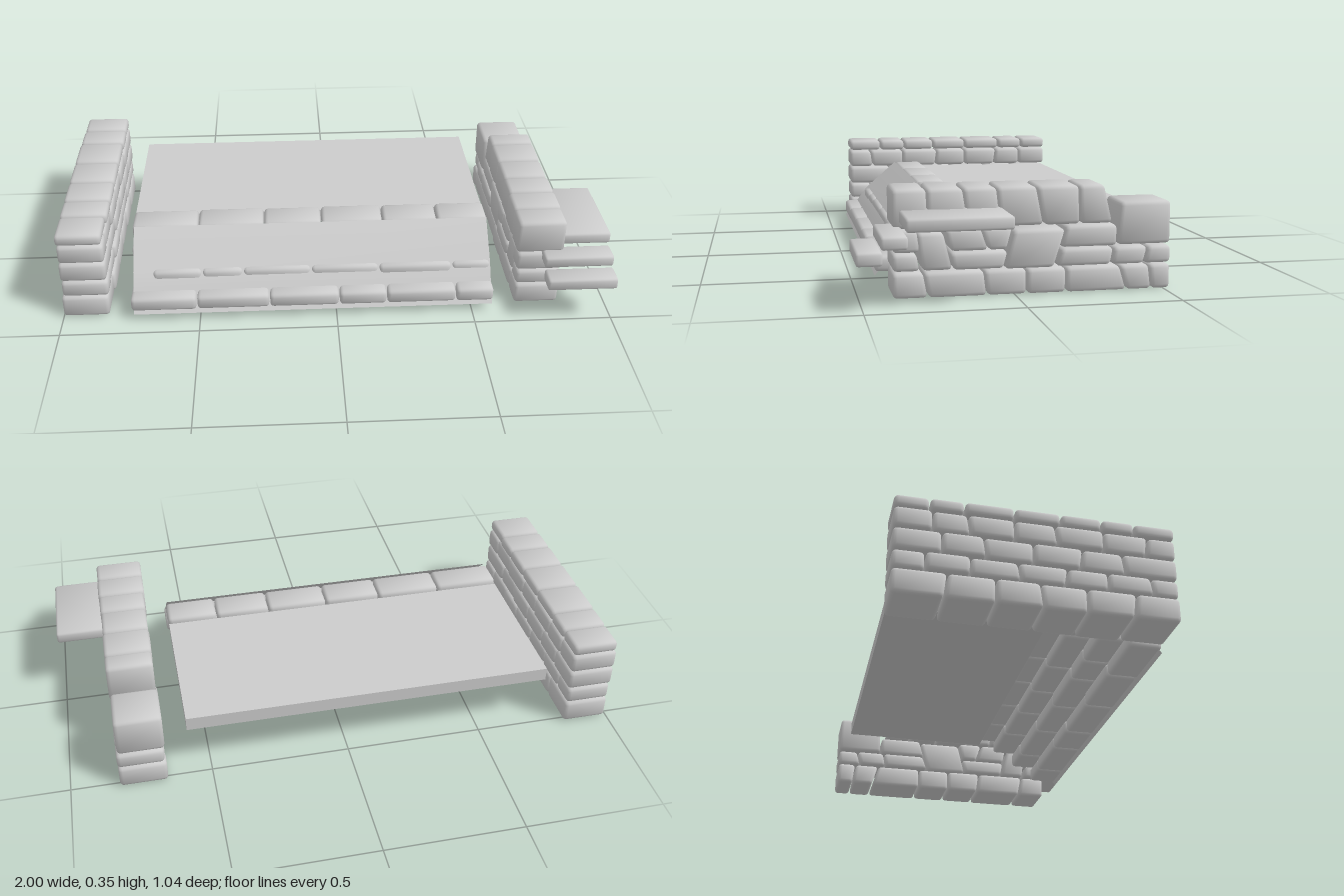
import * as THREE from 'three';
import { RoundedBoxGeometry } from 'three/addons/geometries/RoundedBoxGeometry.js';
import { mergeVertices } from 'three/addons/utils/BufferGeometryUtils.js';

const material = new THREE.MeshStandardMaterial({ color: 0xcccccc });
const sheetMaterial = new THREE.MeshStandardMaterial({ color: 0xcccccc, side: THREE.DoubleSide });

let seed = 7;
const random = () => (seed = (seed * 16807) % 2147483647) / 2147483647;

// Worn stone: a rounded block warped to the quad [[u, v] x 4] (counter-clockwise
// from bottom left), reaching from w0 to w1 in depth, with softly pillowed normals
function stone(name, quad, w0, w1, radius = 0.014) {
  const [a, b, c, d] = quad;
  const w = (b[0] - a[0] + c[0] - d[0]) / 2;
  const h = (d[1] - a[1] + c[1] - b[1]) / 2;
  const depth = w1 - w0;
  let geo = new RoundedBoxGeometry(w, h, depth, 2, Math.min(radius, w / 3, h / 3));
  geo.deleteAttribute('uv');
  geo.deleteAttribute('normal');
  geo = mergeVertices(geo, 1e-5);
  geo.computeVertexNormals();
  const p = geo.attributes.position, n = geo.attributes.normal;
  const normal = new THREE.Vector3(), outward = new THREE.Vector3();
  for (let i = 0; i < p.count; i++) {
    const s = p.getX(i) / w + 0.5, t = p.getY(i) / h + 0.5;
    outward.set(s - 0.5, t - 0.5, p.getZ(i) / depth);
    normal.fromBufferAttribute(n, i).addScaledVector(outward, 1.1).normalize();
    n.setXYZ(i, normal.x, normal.y, normal.z);
    const mix = (k) => (a[k] * (1 - s) + b[k] * s) * (1 - t) + (d[k] * (1 - s) + c[k] * s) * t;
    p.setXYZ(i, mix(0), mix(1), p.getZ(i) + (w0 + w1) / 2);
  }
  const mesh = new THREE.Mesh(geo, material);
  mesh.name = name;
  return mesh;
}

// Run of stones between joints; a joint is one number or a leaning [bottom, top]
function course(group, name, y0, y1, joints, w0, w1, wear) {
  const g = 0.002;
  const ends = joints.map((j) => (Array.isArray(j) ? j : [j, j]));
  for (let i = 0; i + 1 < ends.length; i++) {
    const [l, r] = [ends[i], ends[i + 1]];
    const quad = [[l[0] + g, y0], [r[0] - g, y0], [r[1] - g, y1], [l[1] + g, y1]];
    group.add(stone(name, quad, w0 + random() * wear, w1 - random() * wear));
  }
}

// Walls are laid along u = -z and turned into place
function makeWall(name) {
  const wall = new THREE.Group();
  wall.name = name;
  wall.rotation.y = Math.PI / 2;
  return wall;
}

function leftWall() {
  const wall = makeWall('leftStoneWall');
  const rows = [
    [0.003, 0.088, [-0.394, [-0.24, -0.25], -0.09, [0.05, 0.06], 0.2, [0.36, 0.35], 0.524]],
    [0.092, 0.154, [-0.394, [-0.31, -0.3], -0.16, [-0.02, -0.03], [0.12, 0.13], 0.28, 0.42, 0.524]],
    [0.158, 0.231, [-0.394, [-0.22, -0.21], [-0.07, -0.08], 0.08, [0.23, 0.24], 0.37, 0.524]],
    [0.235, 0.306, [-0.394, [-0.29, -0.3], -0.15, [0, 0.01], 0.14, [0.28, 0.29], 0.4, 0.524]],
    [0.31, 0.352, [-0.394, -0.255, -0.145, -0.01, 0.14, 0.3, 0.41, 0.524]],
  ];
  for (const [y0, y1, joints] of rows) course(wall, 'wallStone', y0, y1, joints, -1, -0.825, 0.008);
  return wall;
}

function rightWall() {
  const wall = makeWall('rightStoneWall');
  const run = (y0, y1, joints) => course(wall, 'wallStone', y0, y1, joints, 0.656, 0.831, 0.008);
  // bottom course
  run(0.003, 0.085, [-0.394, [-0.28, -0.295], [-0.09, -0.1], 0.04, 0.17, [0.375, 0.35], [0.46, 0.45], 0.524]);
  // second course, broken by the two tall stones
  run(0.089, 0.146, [-0.394, [-0.305, -0.315]]);
  run(0.089, 0.146, [[-0.2, -0.21], [-0.035, -0.02]]);
  run(0.089, 0.146, [[0.135, 0.155], [0.32, 0.33], [0.43, 0.445], 0.524]);
  // third course
  run(0.15, 0.222, [-0.394, [-0.305, -0.315]]);
  run(0.15, 0.222, [[-0.21, -0.225], [-0.085, -0.11], [-0.025, -0.005]]);
  run(0.15, 0.22, [[0.15, 0.17], 0.342]);
  // tall stones
  run(0.09, 0.212, [[-0.3, -0.315], [-0.2, -0.23]]);
  run(0.087, 0.212, [[-0.035, -0.005], [0.13, 0.168]]);
  // top course and the lower end block
  run(0.226, 0.352, [-0.394, [-0.28, -0.285], [-0.15, -0.17], [-0.045, -0.06], [0.095, 0.07], [0.215, 0.21], [0.325, 0.295]]);
  run(0.152, 0.293, [[0.342, 0.352], 0.524]);
  return wall;
}

// Four rows of treads, rising towards the platform
function stairs() {
  const group = new THREE.Group();
  group.name = 'stoneStairs';
  const rows = [
    [0.04, 0.093, 0.428, [-0.75, -0.51, -0.245, 0.01, 0.185, 0.44, 0.58]],
    [0.097, 0.155, 0.347, [-0.67, -0.49, -0.34, -0.09, 0.16, 0.43, 0.575]],
    [0.158, 0.207, 0.262, [-0.75, -0.55, -0.3, -0.08, 0.13, 0.36, 0.58]],
    [0.21, 0.262, 0.2, [-0.75, -0.505, -0.26, -0.045, 0.185, 0.39, 0.58]],
  ];
  for (const [y0, y1, front, joints] of rows) {
    course(group, 'stairStone', y0, y1, joints, front - 0.12, front, 0.005);
  }
  return group;
}

// Landing and two steps on the outside of the right wall
function sideSteps() {
  const group = new THREE.Group();
  group.name = 'sideSteps';
  const slab = (name, x0, x1, y0, y1, z0, z1) =>
    group.add(stone(name, [[x0, y0], [x1, y0], [x1, y1], [x0, y1]], z0, z1, 0.009));
  slab('landing', 0.75, 1, 0.245, 0.287, 0.04, 0.372);
  slab('upperStep', 0.75, 1, 0.194, 0.235, 0.366, 0.447);
  slab('lowerStep', 0.75, 1, 0.147, 0.19, 0.442, 0.522);
  return group;
}

// Thin, slightly bowed sheet laid over the stairs
function rampSheet() {
  const profile = [[0.263, 0.2], [0.15, 0.33], [0.093, 0.372], [0.028, 0.425]];
  const geo = new THREE.PlaneGeometry(1.315, 1, 1, profile.length - 1);
  const p = geo.attributes.position;
  for (let i = 0; i < p.count; i++) {
    const [y, z] = profile[Math.floor(i / 2)];
    p.setXYZ(i, p.getX(i) - 0.083, y, z);
  }
  geo.computeVertexNormals();
  const ramp = new THREE.Mesh(geo, sheetMaterial);
  ramp.name = 'ramp';
  return ramp;
}

export function createModel() {
  const model = new THREE.Group();
  model.name = 'stoneTerrace';
  model.add(leftWall(), rightWall(), stairs(), sideSteps(), rampSheet());

  // platform floor, slightly below the top tread
  const floor = new THREE.Mesh(new THREE.BoxGeometry(1.325, 0.05, 0.567), material);
  floor.name = 'platformFloor';
  floor.position.set(-0.085, 0.216, -0.2015);
  model.add(floor);
  return model;
}
